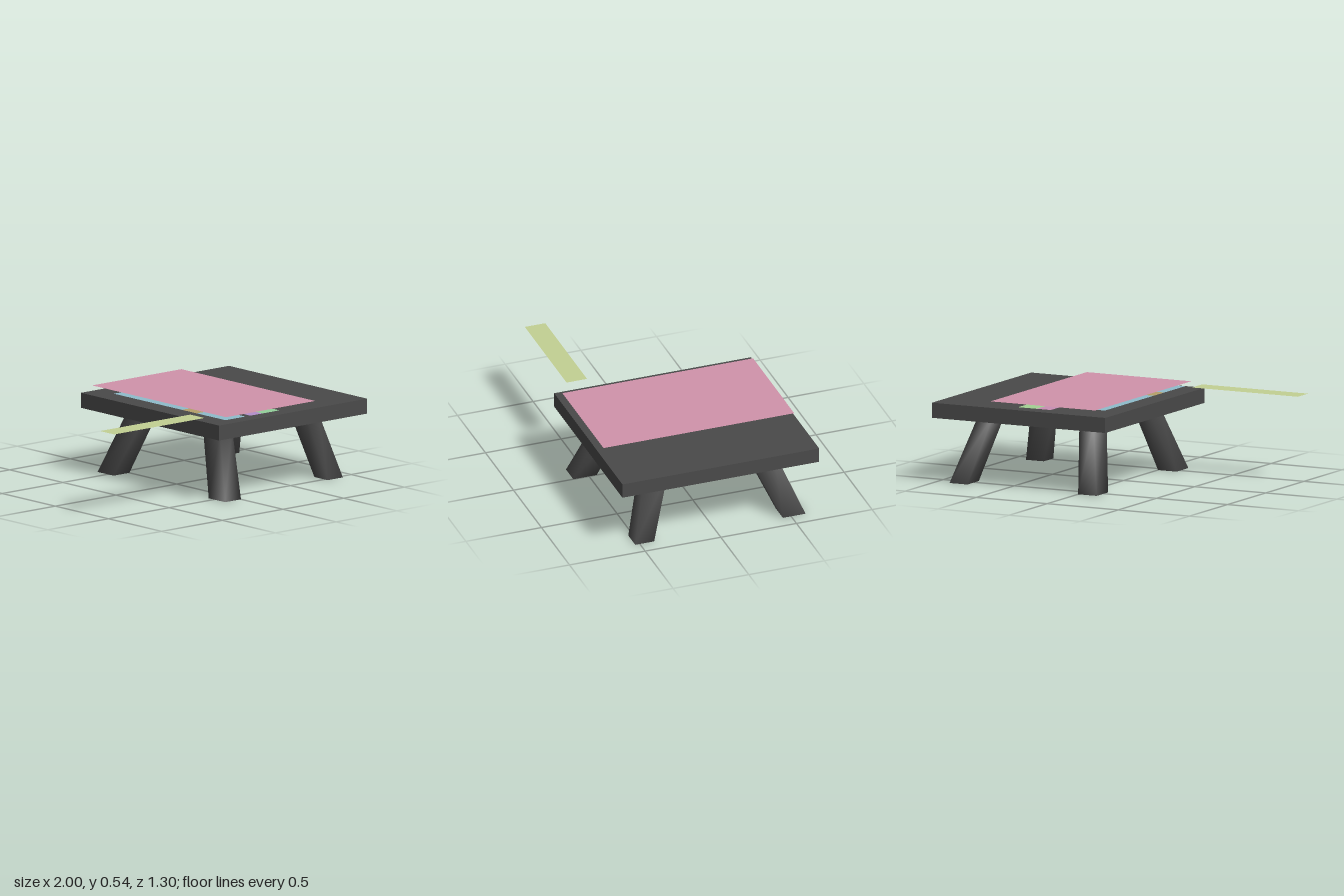
import * as THREE from 'three';
import { mergeVertices } from 'three/addons/utils/BufferGeometryUtils.js';

const TOP = 0.505, UNDER = 0.41;
const dark = new THREE.MeshStandardMaterial({ color: 0x4a4a4a });

// Splayed square leg: a box whose ends are moved to two [x0, x1, z0, z1] rectangles,
// welded so its sides shade smoothly.
function legGeometry(foot, head) {
  const g = new THREE.BoxGeometry(1, 1, 1);
  const p = g.attributes.position;
  for (let i = 0; i < p.count; i++) {
    const upper = p.getY(i) > 0;
    const r = upper ? head : foot;
    p.setXYZ(i, p.getX(i) > 0 ? r[1] : r[0], upper ? UNDER : 0, p.getZ(i) > 0 ? r[3] : r[2]);
  }
  g.deleteAttribute('normal');
  g.deleteAttribute('uv');
  const welded = mergeVertices(g);
  welded.computeVertexNormals();
  return welded;
}

// Flat horizontal sheet spanning x0..x1, z0..z1 at height y.
function sheet(name, color, x0, x1, z0, z1, y) {
  const g = new THREE.PlaneGeometry(x1 - x0, z1 - z0).rotateX(-Math.PI / 2);
  const m = new THREE.Mesh(g, new THREE.MeshStandardMaterial({ color, side: THREE.DoubleSide }));
  m.name = name;
  m.position.set((x0 + x1) / 2, y, (z0 + z1) / 2);
  return m;
}

export function createModel() {
  const model = new THREE.Group();
  model.name = 'tableWithSheets';

  // Table
  const table = new THREE.Group();
  table.name = 'table';
  const slab = new THREE.Mesh(new THREE.BoxGeometry(1.22, TOP - UNDER, 1.3), dark);
  slab.name = 'tableTop';
  slab.position.set(0.39, (TOP + UNDER) / 2, 0);
  table.add(slab);

  // Legs; the left front one is splayed a little less than the others
  const legs = [
    ['frontRightLeg', [-0.13, 0, 0.45, 0.605], [-0.02, 0.08, 0.27, 0.43]],
    ['frontLeftLeg', [0.78, 0.905, 0.405, 0.53], [0.69, 0.79, 0.27, 0.43]],
    ['backRightLeg', [-0.13, 0, -0.595, -0.445], [-0.02, 0.08, -0.43, -0.26]],
    ['backLeftLeg', [0.78, 0.905, -0.595, -0.445], [0.69, 0.79, -0.43, -0.26]],
  ];
  for (const [name, foot, head] of legs) {
    const leg = new THREE.Mesh(legGeometry(foot, head), dark);
    leg.name = name;
    table.add(leg);
  }
  model.add(table);

  // Large cover sheet and the loose strip beside the table
  model.add(sheet('coverSheet', 0xd193ab, -0.14, 0.595, -0.635, 0.625, 0.543));
  model.add(sheet('looseStrip', 0xc3d193, -1, -0.255, 0.42, 0.555, 0.543));

  // Small cards tucked below the cover sheet
  const cards = new THREE.Group();
  cards.name = 'cards';
  const y = TOP + 0.01;
  cards.add(
    sheet('blueCardBack', 0x8fbccb, -0.115, 0.05, -0.46, 0.18, y),
    sheet('oliveCard', 0xb5a06a, -0.115, 0.05, 0.18, 0.32, y),
    sheet('blueCardFront', 0x8fbccb, -0.115, 0.05, 0.32, 0.59, y),
    sheet('purpleCardFront', 0xb48fcb, 0.09, 0.19, 0.42, 0.59, y),
    sheet('greenCardFront', 0x93d19b, 0.19, 0.33, 0.42, 0.59, y),
    sheet('pinkCardBack', 0xc98fb4, 0.19, 0.29, -0.6, -0.42, y),
    sheet('greenCardBack', 0xa3d193, 0.29, 0.42, -0.6, -0.42, y),
  );
  model.add(cards);
  return model;
}
